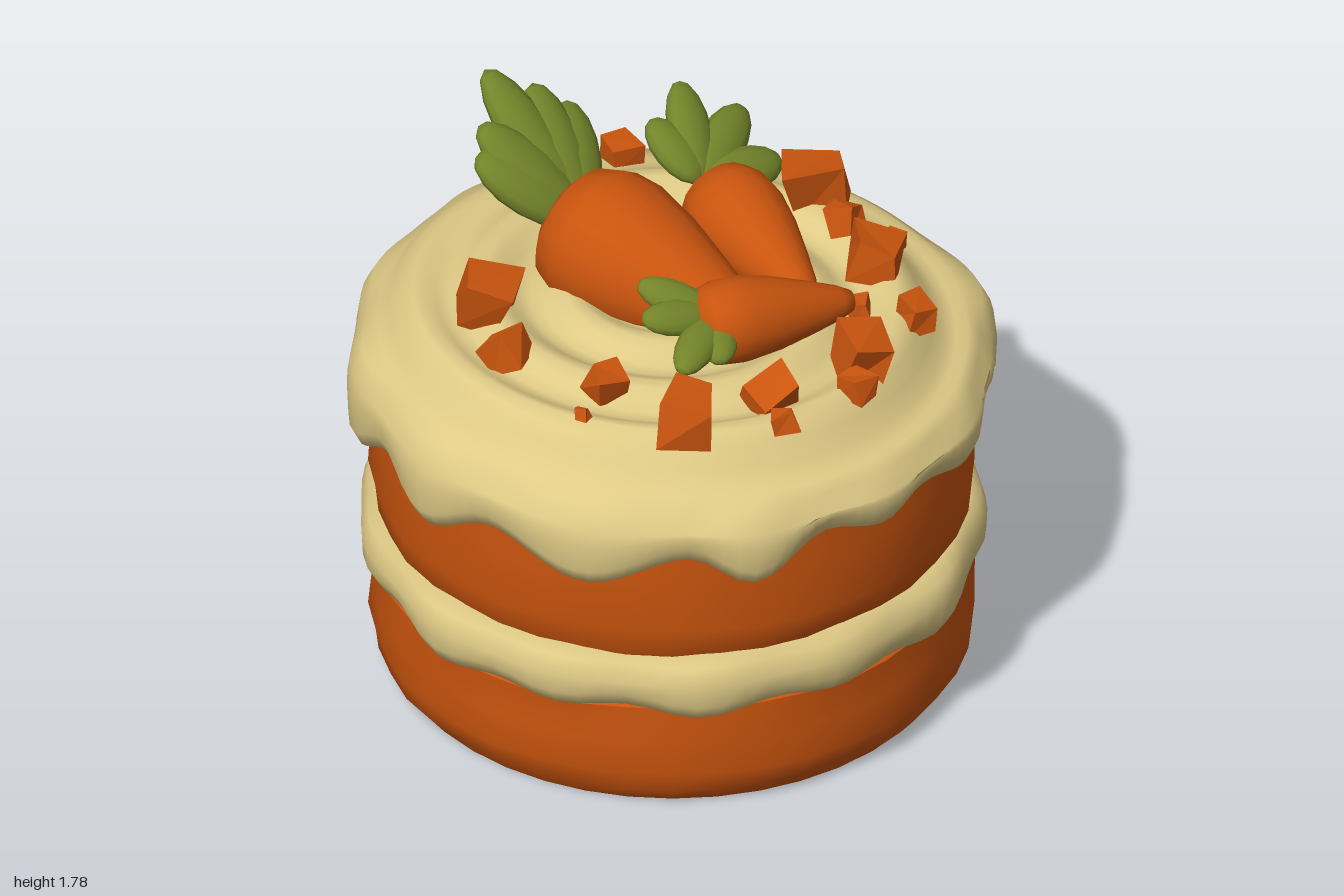
import * as THREE from 'three';
import { toCreasedNormals } from 'three/addons/utils/BufferGeometryUtils.js';

const orange = new THREE.MeshStandardMaterial({ color: 0xc9540e });
orange.name = 'carrotOrange';
const cream = new THREE.MeshStandardMaterial({ color: 0xdfca86 });
cream.name = 'creamIcing';
const green = new THREE.MeshStandardMaterial({ color: 0x74842a });
green.name = 'leafGreen';

const V = (x, y, z) => new THREE.Vector3(x, y, z);
let seed = 7;
const rand = () => (seed = (seed * 16807) % 2147483647) / 2147483647;

function add(parent, name, geometry, material) {
  const mesh = new THREE.Mesh(geometry, material);
  mesh.name = name;
  parent.add(mesh);
  return mesh;
}

// Closed surface from rings, listed from the bottom centre to the top centre.
// ringAt(i, angle) gives [radius, height]; angle 0 faces the front.
function loft(rings, segs, ringAt) {
  const pos = [], index = [];
  for (let i = 0; i < rings; i++) {
    for (let j = 0; j < segs; j++) {
      const a = (j / segs) * Math.PI * 2;
      const [r, y] = ringAt(i, a);
      pos.push(r * Math.sin(a), y, r * Math.cos(a));
      if (i === rings - 1) continue;
      const p = i * segs + j, q = i * segs + (j + 1) % segs;
      index.push(p, q, q + segs, p, q + segs, p + segs);
    }
  }
  const g = new THREE.BufferGeometry();
  g.setAttribute('position', new THREE.Float32BufferAttribute(pos, 3));
  g.setIndex(index);
  g.computeVertexNormals();
  return g;
}

// Slightly uneven sponge layer with rounded edges
function sponge(y0, y1, bevel) {
  const profile = [[0.001, y0], [0.92 - bevel, y0], [0.905, y0 + bevel], [0.925, y0 + 0.13],
    [0.92, (y0 + y1) / 2 + 0.04], [0.92, y1 - 0.03], [0.88, y1], [0.001, y1]];
  const g = loft(profile.length, 40, (i, a) => {
    const [r, y] = profile[i];
    const side = i > 1 && i < 6 ? 1 : 0;
    return [r + side * 0.01 * Math.sin(a * 9 + i * 2.1) * Math.cos(a * 4 - i), y];
  });
  return toCreasedNormals(g, 0.7);
}

// Lower edge of the icing: [degrees, height]
const drips = [[0, 0.96], [16, 0.9], [27, 0.96], [38, 0.92], [55, 0.76], [75, 0.93], [91, 0.96], [106, 0.83],
  [117, 0.96], [134, 0.82], [152, 0.94], [166, 0.86], [180, 0.95], [196, 0.85], [210, 0.95], [225, 0.85],
  [240, 0.95], [255, 0.86], [270, 0.95], [290, 0.86], [309, 0.95], [321, 0.86], [336, 0.97], [349, 0.92], [360, 0.96]];
function dripEdge(a) {
  const d = THREE.MathUtils.radToDeg(a);
  const k = Math.max(1, drips.findIndex((p) => p[0] >= d));
  const [d0, y0] = drips[k - 1], [d1, y1] = drips[k];
  return y0 + (y1 - y0) * (0.5 - 0.5 * Math.cos(Math.PI * (d - d0) / (d1 - d0)));
}

// Height of the swirled icing top
function topHeight(r, a) {
  const x = r * Math.sin(a), z = r * Math.cos(a);
  const dome = 1.27 - 0.12 * THREE.MathUtils.smoothstep(r, 0.72, 0.93);
  const swirl = 0.028 * Math.cos(2 * Math.PI * (r / 0.25) + a + 0.8) * THREE.MathUtils.smoothstep(r, 0.05, 0.25);
  return dome + swirl - 0.04 * x - 0.035 * z;
}

function icing() {
  const topRings = 26;
  return loft(7 + topRings, 120, (i, a) => {
    const low = dripEdge(a), R = 0.965 + (0.95 - low) * 0.28;
    const rim = topHeight(0.9, a);
    if (i === 0) return [0.86, low + 0.06];
    if (i === 1) return [0.925, low + 0.005];
    if (i === 2) return [R - 0.02, low];
    if (i === 3) return [R + 0.005, low + 0.05];
    if (i === 4) return [R + 0.01, THREE.MathUtils.lerp(low, rim, 0.5)];
    if (i === 5) return [R, rim - 0.09];
    if (i === 6) return [Math.max(0.935, R - 0.035), rim - 0.025];
    const r = 0.9 * (1 - (i - 7) / (topRings - 1)) + 0.001;
    return [r, topHeight(r, a)];
  });
}

// Carrot lathed along the line from its crown to its tip
function carrot(parent, name, crown, tip, radius) {
  const axis = tip.clone().sub(crown), len = axis.length();
  const shape = [[0, 0], [0.5, 0.01], [0.82, 0.07], [0.98, 0.18], [1, 0.3], [0.86, 0.5],
    [0.62, 0.72], [0.4, 0.9], [0.25, 0.98], [0, 1]];
  const points = shape.map(([r, t]) => new THREE.Vector2(r * radius, (1 - t) * len)).reverse();
  const mesh = add(parent, name, new THREE.LatheGeometry(points, 16), orange);
  mesh.quaternion.setFromUnitVectors(V(0, 1, 0), axis.clone().normalize().negate());
  mesh.position.copy(tip);
}

// Leaf sprig: flattened lobes fanning from one base
function leaf(parent, name, base, normal, width, tips) {
  const sprig = new THREE.Group();
  sprig.name = name;
  for (const tip of tips) {
    const dir = tip.clone().sub(base), len = dir.length();
    dir.normalize();
    const side = V(0, 0, 0).crossVectors(dir, normal).normalize();
    const up = V(0, 0, 0).crossVectors(side, dir);
    const lobe = add(sprig, 'leafLobe', new THREE.SphereGeometry(1, 12, 8), green);
    lobe.quaternion.setFromRotationMatrix(new THREE.Matrix4().makeBasis(side, dir, up));
    lobe.position.copy(base).addScaledVector(dir, len * 0.5);
    lobe.scale.set(width, len * 0.52, width * 0.62);
  }
  parent.add(sprig);
}

// Irregular faceted carrot chunk
function chunk(size) {
  const g = new THREE.BoxGeometry(1, 1, 1).toNonIndexed();
  const corners = Array.from({ length: 8 }, () => [0.65 + rand() * 0.6, 0.65 + rand() * 0.55, 0.65 + rand() * 0.6]);
  const p = g.attributes.position;
  for (let i = 0; i < p.count; i++) {
    const x = p.getX(i), y = p.getY(i), z = p.getZ(i);
    const c = corners[(x > 0 ? 1 : 0) + (y > 0 ? 2 : 0) + (z > 0 ? 4 : 0)];
    p.setXYZ(i, x * c[0] * size, y * c[1] * size, z * c[2] * size);
  }
  g.computeVertexNormals();
  return g;
}

export function createModel() {
  const cake = new THREE.Group();
  cake.name = 'carrotCake';

  // Layers
  add(cake, 'lowerSponge', sponge(0, 0.4, 0.06), orange);
  add(cake, 'upperSponge', sponge(0.53, 1.1, 0.04), orange);
  const fill = [[0.001, 0.38], [0.88, 0.37], [0.925, 0.37], [0.952, 0.42], [0.955, 0.48], [0.935, 0.54], [0.89, 0.565], [0.001, 0.565]];
  add(cake, 'creamFilling', loft(fill.length, 80, (i, a) => {
    const [r, y] = fill[i];
    const w = Math.sin(a * 13) + 0.5 * Math.sin(a * 7 + 1);
    return [r + (i > 1 && i < 6 ? 0.009 * w : 0), y - (i > 0 && i < 4 ? 0.012 * w : 0)];
  }), cream);
  add(cake, 'drippingIcing', icing(), cream);

  // Three carrots and their leaves
  carrot(cake, 'largeCarrot', V(0.01, 1.39, -0.43), V(-0.02, 1.27, 0.34), 0.235);
  carrot(cake, 'rightCarrot', V(0.43, 1.36, -0.17), V(0.2, 1.29, 0.37), 0.155);
  carrot(cake, 'frontCarrot', V(-0.25, 1.4, 0.25), V(0.25, 1.32, 0.5), 0.135);
  leaf(cake, 'largeLeaf', V(0.02, 1.4, -0.36), V(0, 0.7, 0.7), 0.095,
    [V(0.05, 1.77, -0.74), V(-0.19, 1.64, -0.6), V(0.25, 1.61, -0.58), V(-0.12, 1.7, -0.64), V(0.17, 1.69, -0.65)]);
  leaf(cake, 'rightLeaf', V(0.36, 1.43, -0.16), V(0.1, 0.75, 0.6), 0.078,
    [V(0.38, 1.56, -0.36), V(0.56, 1.59, -0.38), V(0.69, 1.48, -0.24), V(0.65, 1.38, -0.07)]);
  leaf(cake, 'frontLeaf', V(-0.18, 1.42, 0.29), V(-0.3, 0.8, 0.4), 0.062,
    [V(-0.3, 1.52, 0.09), V(-0.4, 1.48, 0.18), V(-0.45, 1.39, 0.36), V(-0.32, 1.37, 0.41)]);

  // Scattered chunks: x, z, width
  const chunks = [[-0.45, -0.37, 0.16], [0.3, -0.6, 0.08], [0.55, -0.6, 0.1], [-0.6, -0.2, 0.12], [0.71, -0.24, 0.09],
    [0.7, 0.03, 0.17], [-0.55, 0.15, 0.1], [-0.73, 0.19, 0.04], [0.62, 0.2, 0.09], [0.71, 0.31, 0.06],
    [-0.56, 0.47, 0.15], [0.52, 0.39, 0.15], [0.33, 0.46, 0.07], [-0.25, 0.55, 0.13], [0.37, 0.65, 0.1],
    [-0.36, 0.68, 0.07], [0.04, 0.68, 0.15], [-0.07, 0.75, 0.08]];
  for (const [x, z, size] of chunks) {
    const mesh = add(cake, 'carrotChunk', chunk(size), orange);
    mesh.position.set(x, topHeight(Math.hypot(x, z), Math.atan2(x, z)) + size * 0.3, z);
    mesh.rotation.set(rand() * 0.6 - 0.3, rand() * 3, rand() * 0.6 - 0.3);
  }
  return cake;
}
